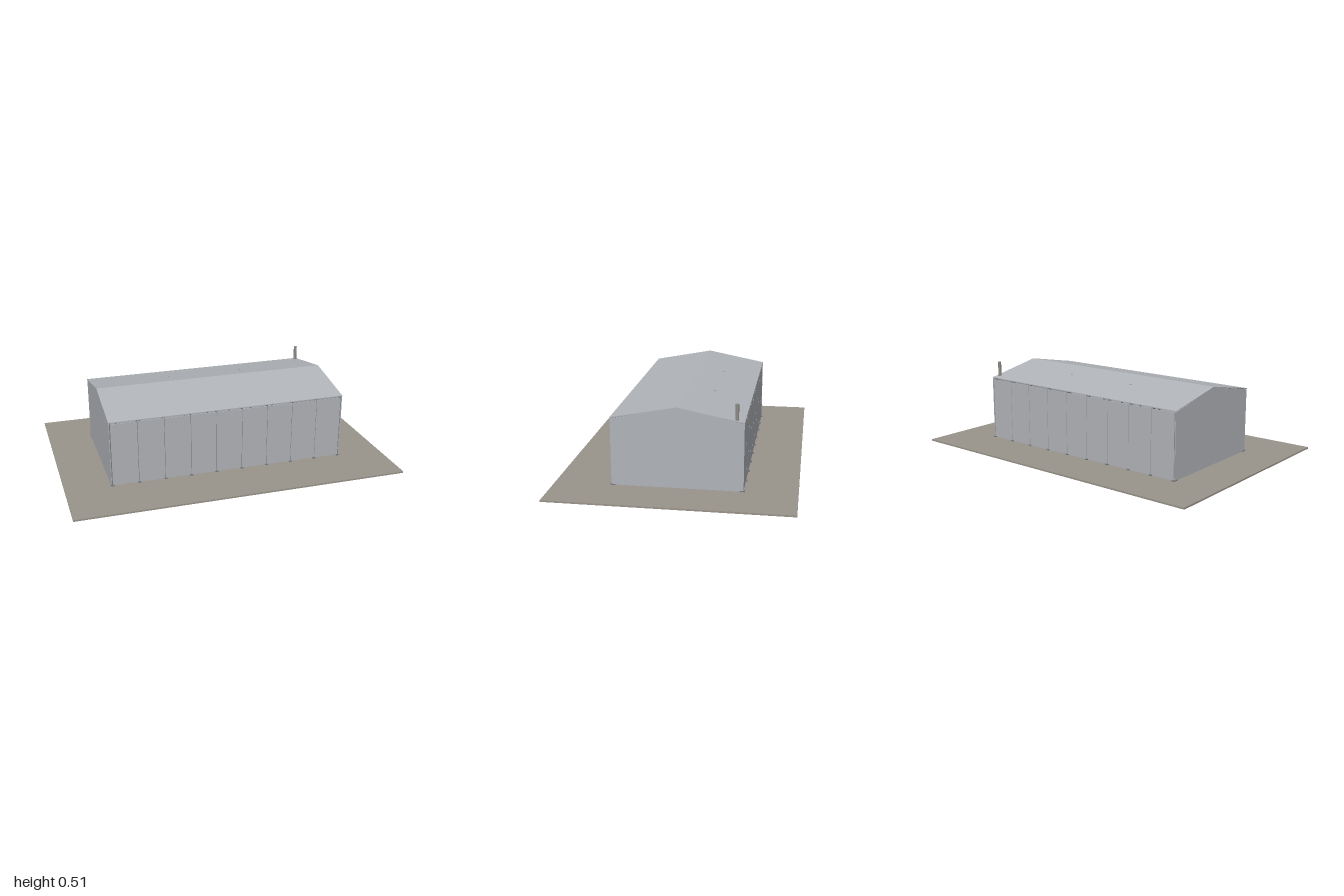
import * as THREE from 'three';

const mat = (name, color) => {
  const m = new THREE.MeshStandardMaterial({ color });
  m.name = name;
  return m;
};

export function createModel() {
  const cladding = mat('grey cladding', 0xb0b3b8);
  const steel = mat('dark steel', 0x74787d);
  const earth = mat('brown ground', 0x9a948b);
  const flueMat = mat('flue metal', 0x8f8b86);

  const model = new THREE.Group();
  model.name = 'shed';
  const hall = new THREE.Group();
  hall.name = 'hall';
  hall.position.z = -0.0135; // the hall sits slightly behind the middle of the plot
  model.add(hall);

  const add = (parent, name, geometry, material, x, y, z) => {
    const m = new THREE.Mesh(geometry, material);
    m.name = name;
    m.position.set(x, y, z);
    parent.add(m);
    return m;
  };
  const box = (parent, name, material, w, h, d, x, y, z) =>
    add(parent, name, new THREE.BoxGeometry(w, h, d), material, x, y, z);

  // Profile in the z-y plane, extruded along x and centred on its position
  const profile = (name, points, width, material, x) => {
    const shape = new THREE.Shape(points.map(([z, y]) => new THREE.Vector2(z, y)));
    const geo = new THREE.ExtrudeGeometry(shape, { depth: width, bevelEnabled: false });
    geo.translate(0, 0, -width / 2);
    geo.rotateY(Math.PI / 2);
    return add(hall, name, geo, material, x, 0, 0);
  };

  const x0 = -0.73, x1 = 0.725, half = 0.376;
  const base = 0.01, wallTop = 0.4, eave = 0.412, ridge = 0.484;
  const slope = (ridge - eave) / half;
  const chevron = (h, top, thick) => [
    [-h, top - slope * h], [0, top], [h, top - slope * h],
    [h, top - slope * h - thick], [0, top - thick], [-h, top - slope * h - thick],
  ];

  // Ground plate
  box(model, 'ground', earth, 2, base, 1.386, 0, base / 2, 0);

  // Roof sheets
  profile('roof', chevron(half, ridge, 0.005), x1 - x0, cladding, (x0 + x1) / 2);

  // Gable walls
  const under = ridge - 0.005;
  const gable = [[-half, base + 0.002], [half, base + 0.002], [half, wallTop + 0.004],
    [0, under], [-half, wallTop + 0.004]];
  for (const x of [x0 + 0.003, x1 - 0.003]) profile('gableWall', gable, 0.004, cladding, x);

  // Portal frames: columns, base plates and rafters
  const bays = 9, first = x0 + 0.009, step = (x1 - x0 - 0.018) / bays;
  for (let i = 0; i <= bays; i++) {
    const x = first + step * i;
    profile('rafter', chevron(half - 0.012, under, 0.02), 0.008, steel, x);
    for (const s of [-1, 1]) {
      box(hall, 'column', steel, 0.008, wallTop - base, 0.014, x, (wallTop + base) / 2, s * (half - 0.014));
      box(hall, 'basePlate', steel, 0.018, 0.006, 0.03, x, base + 0.003, s * (half - 0.008));
    }
  }

  // Long wall panels, one per bay with a narrow joint at each column
  for (let i = 0; i < bays; i++) {
    const x = first + step * (i + 0.5);
    for (const s of [-1, 1]) {
      box(hall, 'wallPanel', cladding, step - 0.003, wallTop - base - 0.002, 0.004,
        x, (wallTop + base + 0.002) / 2, s * (half - 0.003));
    }
  }

  // Flue pipe through the back corner of the roof
  add(model, 'flue', new THREE.CylinderGeometry(0.01, 0.01, 0.5, 16), flueMat, 0.702, 0.261, -0.346);

  // Small stubs on the back roof slope
  for (const x of [-0.24, 0.235]) {
    add(model, 'roofVent', new THREE.CylinderGeometry(0.005, 0.005, 0.012, 10), flueMat, x, 0.4505, -0.166);
  }
  return model;
}
